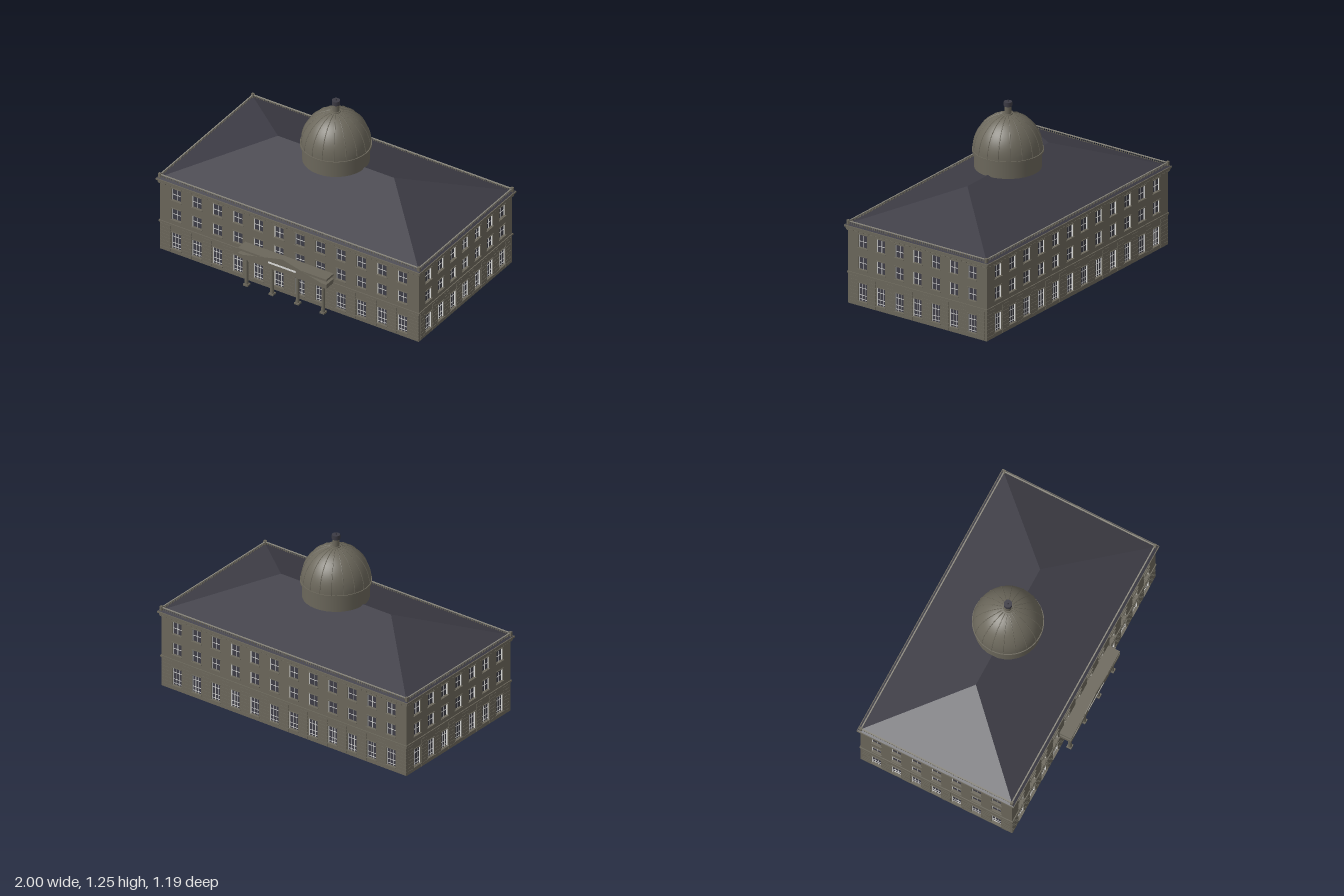
import * as THREE from 'three';
import { mergeGeometries } from 'three/addons/utils/BufferGeometryUtils.js';

const HX = 0.98, HZ = 0.543, ZC = -0.033; // wall half sizes and centre of the block

export function createModel() {
  const mat = (name, color, extra = {}) => {
    const m = new THREE.MeshStandardMaterial({ color, ...extra });
    m.name = name;
    return m;
  };
  const stone = mat('stone', 0x6b675b);
  const slate = mat('slate', 0x3c3b44);
  const glass = mat('glass', 0x3e3d47);
  const white = mat('white frames', 0xdcdcda);
  const rail = mat('pale stone', 0x8a877d);

  const root = new THREE.Group();
  root.name = 'domedBuilding';
  const block = new THREE.Group();
  block.name = 'mainBlock';
  block.position.z = ZC;
  root.add(block);

  const add = (parent, name, geo, material) => {
    const m = new THREE.Mesh(geo, material);
    m.name = name;
    parent.add(m);
    return m;
  };
  const box = (w, h, d, x, y, z) => new THREE.BoxGeometry(w, h, d).translate(x, y, z);

  // Solid core behind the facades
  add(block, 'core', box(2 * HX - 0.03, 0.53, 2 * HZ - 0.03, 0, 0.265, 0), stone);

  // Window rows: bottom, top, horizontal bars, vertical bars
  const rows = [
    { y0: 0.033, y1: 0.158, bars: [0.045, 0.073, 0.122], posts: [-0.011, 0.011] },
    { y0: 0.254, y1: 0.34, bars: [0.294], posts: [0] },
    { y0: 0.403, y1: 0.492, bars: [0.442], posts: [0] },
  ];

  // One wall with recessed windows; its outer face lies at local z = 0
  function facade(name, width, n, step, win) {
    const g = new THREE.Group();
    g.name = name;
    const wall = new THREE.Shape();
    const rect = (p, x0, y0, x1, y1) =>
      p.moveTo(x0, y0).lineTo(x1, y0).lineTo(x1, y1).lineTo(x0, y1).closePath();
    rect(wall, -width / 2, 0, width / 2, 0.53);
    const panes = [], frames = [], sills = [], courses = [];
    for (let i = 0; i < n; i++) {
      const x = (i - (n - 1) / 2) * step;
      for (const { y0, y1, bars, posts } of rows) {
        const h = y1 - y0, ym = (y0 + y1) / 2;
        const hole = new THREE.Path();
        rect(hole, x - win / 2, y0, x + win / 2, y1);
        wall.holes.push(hole);
        panes.push(box(win, h, 0.002, x, ym, -0.013));
        for (const s of [-1, 1]) frames.push(box(0.002, h, 0.01, x + s * (win / 2 - 0.001), ym, -0.008));
        for (const p of posts) frames.push(box(0.003, h, 0.003, x + p, ym, -0.011));
        for (const b of bars) frames.push(box(win, 0.003, 0.003, x, b, -0.011));
        sills.push(box(win + 0.012, 0.005, 0.008, x, y0 - 0.003, 0.003));
        sills.push(box(win + 0.008, 0.004, 0.006, x, y1 + 0.003, 0.002));
      }
    }
    // Rusticated stone courses between the ground floor windows
    for (let i = 0; i <= n; i++) {
      const c = (i - n / 2) * step;
      const x0 = i === 0 ? -width / 2 : c - step / 2 + win / 2 + 0.007;
      const x1 = i === n ? width / 2 : c + step / 2 - win / 2 - 0.007;
      for (let k = 0; k < 8; k++)
        courses.push(box(x1 - x0, 0.021, 0.002, (x0 + x1) / 2, 0.014 + k * 0.025, 0.001));
    }
    add(g, 'wall', new THREE.ExtrudeGeometry(wall, { depth: 0.015, bevelEnabled: false }).translate(0, 0, -0.015), stone);
    add(g, 'windowPanes', mergeGeometries(panes), glass);
    add(g, 'windowFrames', mergeGeometries(frames), white);
    add(g, 'sillsAndLintels', mergeGeometries(sills), stone);
    add(g, 'stoneCourses', mergeGeometries(courses), stone);
    block.add(g);
    return g;
  }
  for (const s of [1, -1]) {
    const long = facade(s > 0 ? 'frontFacade' : 'backFacade', 2 * HX, 12, 0.1557, 0.07);
    long.position.z = s * HZ;
    long.rotation.y = s > 0 ? 0 : Math.PI;
    const side = facade(s > 0 ? 'leftFacade' : 'rightFacade', 2 * HZ - 0.03, 7, 0.143, 0.066);
    side.position.x = s * HX;
    side.rotation.y = s * Math.PI / 2;
  }

  // Horizontal mouldings around the block: bottom, top, projection
  const mouldings = [
    ['beltCourse', 0.208, 0.22, 0.006], ['lowerBand', 0.503, 0.509, 0.006],
    ['frieze', 0.515, 0.526, 0.012], ['cornice', 0.528, 0.539, 0.02],
  ];
  for (const [name, y0, y1, p] of mouldings)
    add(block, name, box(2 * (HX + p), y1 - y0, 2 * (HZ + p), 0, (y0 + y1) / 2, 0), stone);

  // Dentils under the cornice and balustrade above it
  const dentils = [], balusters = [], rails = [];
  const along = (half, spacing, fn) => {
    const n = Math.round(2 * half / spacing);
    for (let i = 0; i <= n; i++) fn(-half + 2 * half * i / n);
  };
  for (const s of [-1, 1]) {
    along(HX, 0.04, x => dentils.push(box(0.014, 0.008, 0.012, x, 0.512, s * (HZ + 0.005))));
    along(HZ, 0.04, z => dentils.push(box(0.012, 0.008, 0.014, s * (HX + 0.005), 0.512, z)));
    along(HX, 0.0163, x => balusters.push(box(0.005, 0.024, 0.005, x, 0.551, s * (HZ - 0.003))));
    along(HZ - 0.012, 0.0163, z => balusters.push(box(0.005, 0.024, 0.005, s * HX, 0.551, z)));
    rails.push(box(2 * HX, 0.005, 0.008, 0, 0.564, s * (HZ - 0.003)));
    rails.push(box(0.008, 0.005, 2 * HZ, s * HX, 0.564, 0));
    for (const t of [-1, 1]) balusters.push(box(0.018, 0.034, 0.018, s * (HX + 0.002), 0.555, t * (HZ - 0.002)));
  }
  add(block, 'dentils', mergeGeometries(dentils), stone);
  add(block, 'balusters', mergeGeometries(balusters), stone);
  add(block, 'balustradeRails', mergeGeometries(rails), rail);

  // Hipped roof
  const X = 0.995, Z = 0.558, E = 0.54;
  const a = [-X, E, Z], b = [X, E, Z], c = [X, E, -Z], d = [-X, E, -Z];
  const r1 = [-0.44, 0.752, 0], r2 = [0.44, 0.752, 0];
  const roof = new THREE.BufferGeometry();
  const tris = [a, b, r2, a, r2, r1, b, c, r2, c, d, r1, c, r1, r2, d, a, r1];
  roof.setAttribute('position', new THREE.Float32BufferAttribute(tris.flat(), 3));
  roof.computeVertexNormals();
  add(block, 'hippedRoof', roof, slate);

  // Dome: drum, ring, ribbed shell and lantern
  const dome = new THREE.Group();
  dome.name = 'dome';
  block.add(dome);
  const cyl = (r0, r1c, y0, y1, seg = 32) =>
    new THREE.CylinderGeometry(r1c, r0, y1 - y0, seg).translate(0, (y0 + y1) / 2, 0);
  add(dome, 'drum', cyl(0.216, 0.216, 0.742, 0.855), stone);
  add(dome, 'domeRing', cyl(0.23, 0.23, 0.851, 0.864, 48), stone);
  const arc = (r, h, n = 18) => Array.from({ length: n + 1 }, (_, i) => {
    const t = i / n * Math.PI / 2;
    return new THREE.Vector2(Math.max(r * Math.cos(t), 0.0001), 0.86 + h * Math.sin(t));
  });
  add(dome, 'domeShell', new THREE.LatheGeometry(arc(0.224, 0.243), 48), stone);
  const ribPath = new THREE.CatmullRomCurve3(arc(0.224, 0.243).slice(0, 17).map(p => new THREE.Vector3(p.x, p.y, 0)));
  const ribs = [];
  for (let i = 0; i < 18; i++)
    ribs.push(new THREE.TubeGeometry(ribPath, 20, 0.003, 5).rotateY(i / 18 * Math.PI * 2));
  add(dome, 'domeRibs', mergeGeometries(ribs), stone);
  add(dome, 'lanternFoot', cyl(0.032, 0.03, 1.095, 1.107, 20), stone);
  add(dome, 'lantern', cyl(0.023, 0.023, 1.1, 1.157, 20), stone);
  add(dome, 'lanternCap', cyl(0.027, 0.027, 1.156, 1.186, 20), slate);
  add(dome, 'finial', cyl(0.006, 0.004, 1.186, 1.196, 8), slate);
  add(dome, 'spire', cyl(0.0015, 0.001, 1.19, 1.247, 6), slate);

  // Entrance porch
  const porch = new THREE.Group();
  porch.name = 'porch';
  root.add(porch);
  for (const x of [-0.29, -0.097, 0.097, 0.29]) {
    const col = new THREE.Group();
    col.name = 'column';
    col.position.set(x, 0, 0.562);
    porch.add(col);
    add(col, 'columnBase', box(0.034, 0.012, 0.034, 0, 0.006, 0), stone);
    add(col, 'columnShaft', cyl(0.013, 0.01, 0.012, 0.212, 16), stone);
    add(col, 'columnCapital', box(0.026, 0.008, 0.026, 0, 0.213, 0), stone);
  }
  add(porch, 'entablature', box(0.67, 0.031, 0.086, 0, 0.2325, 0.552), stone);
  add(porch, 'porchRoofSlab', box(0.67, 0.015, 0.086, 0, 0.2795, 0.552), stone);
  const gable = new THREE.Shape([[-0.3, 0.248], [0.3, 0.248], [0, 0.322]].map(p => new THREE.Vector2(...p)));
  add(porch, 'pediment', new THREE.ExtrudeGeometry(gable, { depth: 0.004, bevelEnabled: false }).translate(0, 0, 0.593), stone);
  add(porch, 'pedimentPanel', box(0.21, 0.013, 0.002, 0, 0.263, 0.598), white);

  return root;
}
